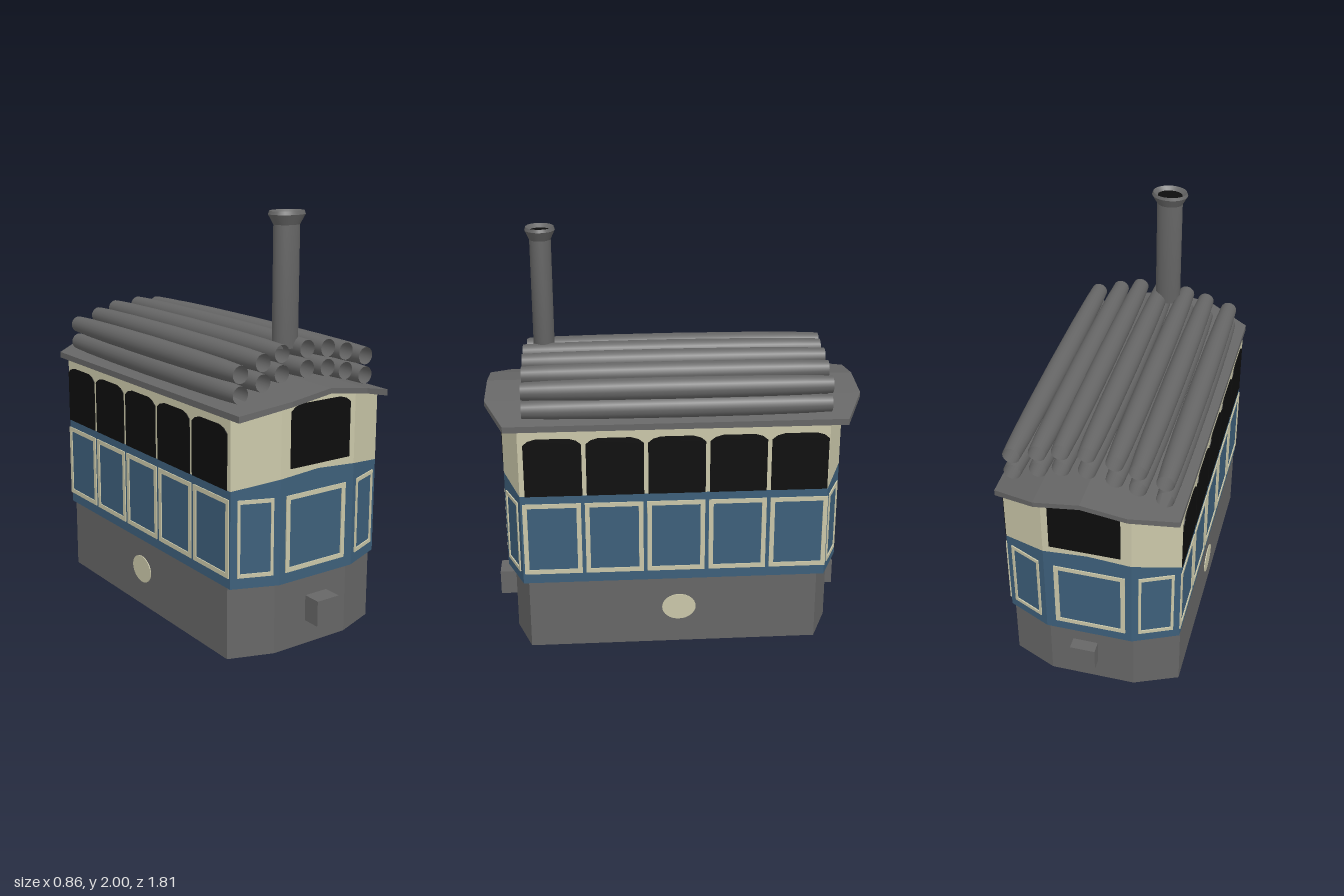
import * as THREE from 'three';

const mat = (name, color, side = THREE.FrontSide) => {
  const m = new THREE.MeshStandardMaterial({ color, side });
  m.name = name;
  return m;
};

// Solid with chamfered ends, lofted across x.
// Each column: [x, zFront, zBack, yBottom, yTop]
function loft(cols) {
  const rings = cols.map(([x, zf, zb, y0, y1]) => [[x, y0, zf], [x, y1, zf], [x, y1, zb], [x, y0, zb]]);
  const pos = [];
  const quad = (a, b, c, d) => pos.push(...a, ...b, ...c, ...a, ...c, ...d);
  for (let i = 0; i < rings.length - 1; i++) {
    const p = rings[i], q = rings[i + 1];
    for (let k = 0; k < 4; k++) {
      const n = (k + 1) % 4;
      quad(p[k], q[k], q[n], p[n]);
    }
  }
  const f = rings[0], l = rings[rings.length - 1];
  quad(f[0], f[1], f[2], f[3]);
  quad(l[3], l[2], l[1], l[0]);
  const g = new THREE.BufferGeometry();
  g.setAttribute('position', new THREE.Float32BufferAttribute(pos, 3));
  g.computeVertexNormals();
  return g;
}

// Columns at the side edges, the chamfer corners and the middle
function columns(w, front, back, bottom, top) {
  return [-1, -0.5, 0, 0.5, 1].map(t => {
    const k = Math.abs(t) * 2;
    return [t * w, front[Math.min(1, 2 - k)] ?? front[1], back[Math.min(1, 2 - k)] ?? back[1], bottom[k], top[k]];
  });
}

const plate = shape => new THREE.ExtrudeGeometry(shape, { depth: 0.006, bevelEnabled: false });

// Rectangular moulding, centred
function frameGeometry(w, h, t, tv = t) {
  const rect = (C, a, b) => new C([[-a, -b], [a, -b], [a, b], [-a, b]].map(p => new THREE.Vector2(...p)));
  const s = rect(THREE.Shape, w / 2, h / 2);
  s.holes.push(rect(THREE.Path, w / 2 - t, h / 2 - tv));
  return plate(s);
}

// Window pane with clipped upper corners, base at y = 0
function paneGeometry(w, h, cx, cy) {
  const a = w / 2;
  return plate(new THREE.Shape([[-a, 0], [a, 0], [a, h - cy], [a - cx * 0.4, h - cy * 0.35], [a - cx, h],
    [cx - a, h], [cx * 0.4 - a, h - cy * 0.35], [-a, h - cy]].map(p => new THREE.Vector2(...p))));
}

export function createModel() {
  const model = new THREE.Group();
  model.name = 'tram';
  const grey = mat('grey metal', 0x666666);
  const pipeGrey = mat('grey pipe', 0x666666, THREE.DoubleSide);
  const blue = mat('blue paint', 0x3d5f7a);
  const cream = mat('cream paint', 0xcac7a9);
  const black = mat('black glass', 0x0d0d0d);

  const add = (name, geo, material, x = 0, y = 0, z = 0, ry = 0) => {
    const m = new THREE.Mesh(geo, material);
    m.name = name;
    m.position.set(x, y, z);
    m.rotation.y = ry;
    model.add(m);
    return m;
  };

  // Main body, bottom to top
  const W = 0.425, front = [0.745, 0.83], back = [-0.725, -0.82];
  const waist = [0.865, 0.85, 0.81], eaves = [1.23, 1.2, 1.14];
  add('skirt', loft(columns(0.422, [0.72, 0.795], [-0.69, -0.78], [0, 0, 0], [0.36, 0.36, 0.36])), grey);
  add('lowerBody', loft(columns(W, front, back, [0.35, 0.35, 0.35], waist)), blue);
  add('upperBody', loft(columns(W, front, back, waist, eaves)), cream);
  add('roof', loft(columns(0.428, [0.81, 0.905], [-0.81, -0.905], [1.225, 1.195, 1.135], [1.25, 1.22, 1.165])), grey);

  // Buffers at both ends
  const buffer = new THREE.BoxGeometry(0.125, 0.125, 0.12);
  add('frontBuffer', buffer, grey, 0.033, 0.18, 0.825);
  add('backBuffer', buffer, grey, 0.033, 0.18, -0.78);

  // Side windows, panel mouldings and round plates
  const sidePane = paneGeometry(0.272, 0.29, 0.06, 0.03);
  const sideFrame = frameGeometry(0.278, 0.37, 0.022);
  const disc = new THREE.CylinderGeometry(1, 1, 0.008, 32).rotateZ(Math.PI / 2).scale(1, 0.068, 0.083);
  for (const s of [1, -1]) {
    const ry = s * Math.PI / 2;
    for (let i = -2; i <= 2; i++) {
      add('sideWindow', sidePane, black, s * (W - 0.002), 0.81, i * 0.2925, ry);
      add('sidePanelMoulding', sideFrame, cream, s * (W - 0.001), 0.585, 0.004 + i * 0.2965, ry);
    }
    add('roundPlate', disc, cream, s * 0.422, 0.193, -0.01);
  }

  // End windows and mouldings, front and back
  const endPane = paneGeometry(0.34, 0.29, 0.06, 0.03);
  const endFrame = frameGeometry(0.345, 0.365, 0.022);
  for (const s of [1, -1]) {
    const [edge, mid] = s > 0 ? front : back;
    const turn = s > 0 ? 0 : Math.PI;
    add('endWindow', endPane, black, 0.01, 0.89, mid - s * 0.001, turn);
    add('endPanelMoulding', endFrame, cream, -0.008, 0.585, mid - s * 0.001, turn);
    const slope = Math.atan2(Math.abs(mid - edge), W / 2);
    const cornerFrame = frameGeometry(0.155 / Math.cos(slope), 0.365, 0.013, 0.018);
    for (const k of [1, -1]) {
      const x = 0.318;
      const z = mid + (edge - mid) * (x - W / 2) / (W / 2);
      add('cornerPanelMoulding', cornerFrame, cream, k * x, 0.585, z, turn + s * k * slope);
    }
  }

  // Two layers of open barrel-shaped pipes on the roof
  const profile = [[0.041, -0.728], [0.046, -0.6], [0.05, -0.36], [0.052, 0], [0.05, 0.36], [0.046, 0.6], [0.041, 0.728]];
  const pipe = new THREE.LatheGeometry(profile.map(p => new THREE.Vector2(...p)), 20).rotateX(Math.PI / 2);
  const spots = [[-0.345, 1.225], [-0.222, 1.262], [-0.117, 1.29], [0.014, 1.3], [0.135, 1.29], [0.243, 1.262], [0.365, 1.225]];
  spots.forEach(([x, y], i) => {
    const z = i < 3 ? -0.022 : -0.007;
    add('lowerPipe', pipe, pipeGrey, x, y, z);
    add('upperPipe', pipe, pipeGrey, x, y + 0.092, z);
  });

  // Oval chimney with flared rim and dark bore
  const stack = new THREE.LatheGeometry([[0, 1.39], [0.064, 1.39], [0.064, 1.94], [0.064, 1.94], [0.09, 1.985], [0.09, 1.985],
    [0.084, 2], [0.084, 2], [0.06, 1.98]].map(p => new THREE.Vector2(...p)), 28);
  add('chimney', stack, grey, -0.035, 0, 0.62).scale.z = 0.8;
  add('chimneyBore', new THREE.CircleGeometry(0.062, 28).rotateX(-Math.PI / 2), black, -0.035, 1.982, 0.62).scale.z = 0.8;

  return model;
}
